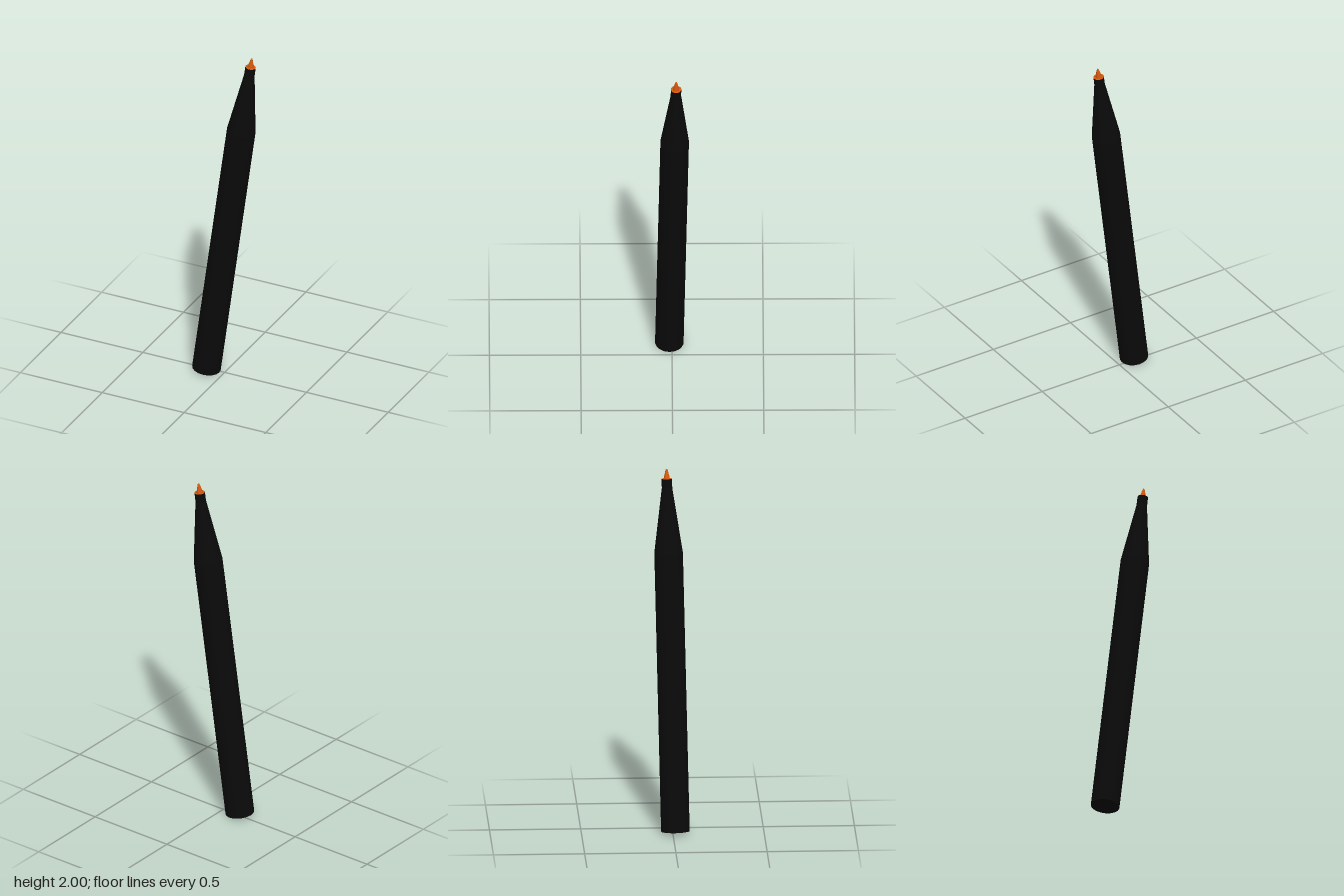
import * as THREE from 'three';

const SIDES = 18;
const START = Math.PI / 2;

export function createModel() {
  const pen = new THREE.Group();
  pen.name = 'pen';
  const black = new THREE.MeshStandardMaterial({ color: 0x0a0a0a });
  const orange = new THREE.MeshStandardMaterial({ color: 0xd4580e });

  // A round section of the pen between two heights along its axis
  const section = (name, r0, r1, y0, y1, material) => {
    const geo = new THREE.CylinderGeometry(r1, r0, y1 - y0, SIDES, 1, true, START);
    const mesh = new THREE.Mesh(geo, material);
    mesh.position.y = (y0 + y1) / 2;
    mesh.name = name;
    pen.add(mesh);
  };

  // A flat disc closing a section, facing up (1) or down (-1)
  const disc = (name, r, y, facing, material) => {
    const mesh = new THREE.Mesh(new THREE.CircleGeometry(r, SIDES), material);
    mesh.rotation.x = -facing * Math.PI / 2;
    mesh.position.y = y;
    mesh.name = name;
    pen.add(mesh);
  };

  // Body
  disc('endCap', 0.079, 0, -1, black);
  section('barrel', 0.079, 0.079, 0, 1.543, black);
  section('taper', 0.079, 0.029, 1.543, 1.9, black);
  section('collar', 0.029, 0.029, 1.9, 1.952, black);

  // Felt tip
  disc('tipBase', 0.029, 1.952, 1, orange);
  const profile = [[0.017, 1.952], [0.0135, 1.97], [0.0065, 1.998], [0.004, 2.005], [0, 2.007]]
    .map(([r, y]) => new THREE.Vector2(r, y));
  const nib = new THREE.Mesh(new THREE.LatheGeometry(profile, SIDES, START), orange);
  nib.name = 'nib';
  pen.add(nib);

  // Lean the whole pen
  const axis = new THREE.Vector3(0.259, 1.99, -0.037).normalize();
  pen.quaternion.setFromUnitVectors(new THREE.Vector3(0, 1, 0), axis);
  pen.position.set(-0.104, 0.0105, 0.0145);

  const model = new THREE.Group();
  model.name = 'leaningPen';
  model.add(pen);
  return model;
}
